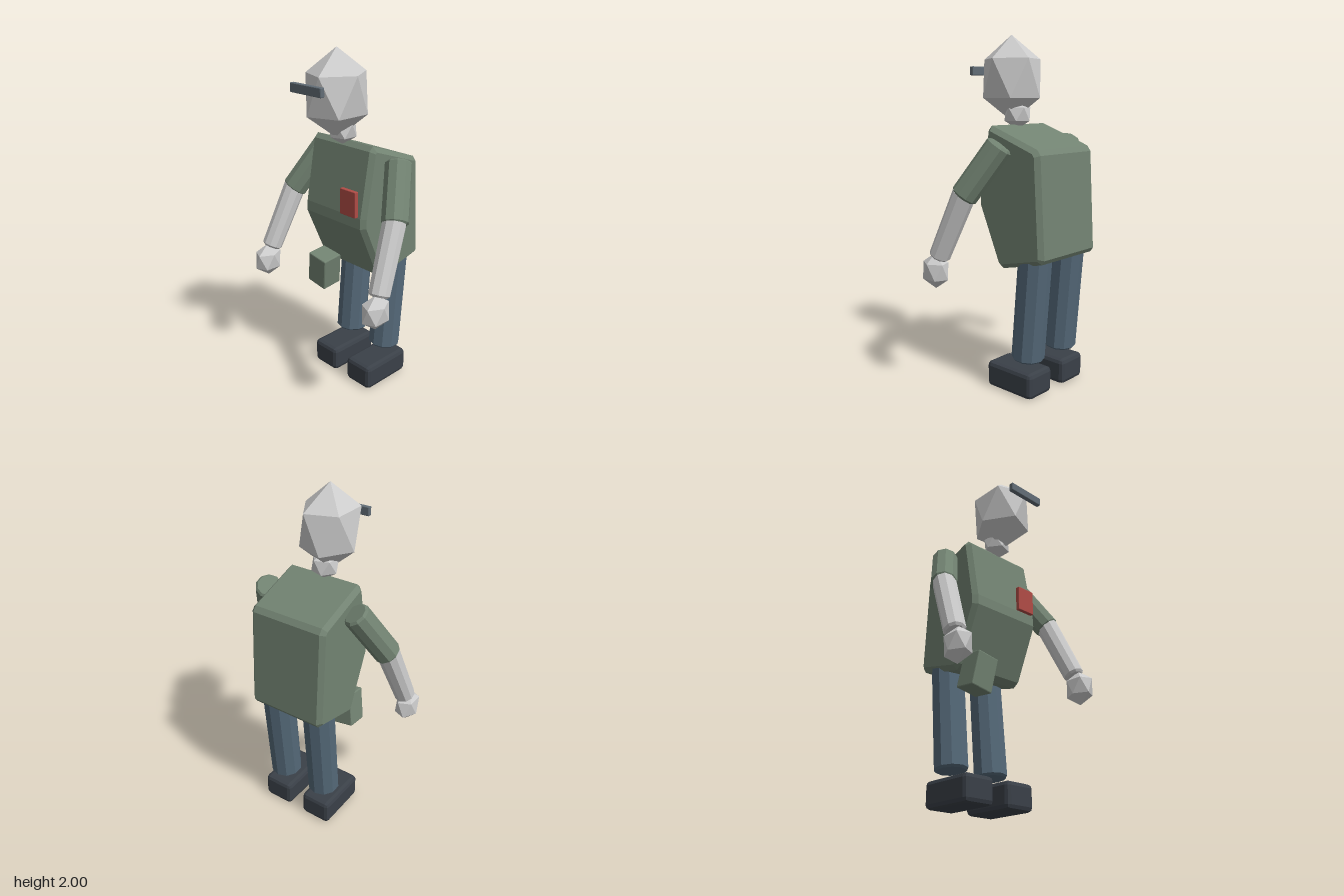
import * as THREE from 'three';
import { RoundedBoxGeometry } from 'three/addons/geometries/RoundedBoxGeometry.js';

const material = (color) => new THREE.MeshStandardMaterial({ color, flatShading: true });

export function createModel() {
  const model = new THREE.Group();
  model.name = 'figure';
  const skin = material(0xcccccc);
  const green = material(0x728372);
  const denim = material(0x546878);
  const dark = material(0x3a4048);
  const red = material(0xb04c46);
  const steel = material(0x626d76);

  const add = (name, geometry, mat, position = [0, 0, 0]) => {
    const mesh = new THREE.Mesh(geometry, mat);
    mesh.name = name;
    mesh.position.set(...position);
    model.add(mesh);
    return mesh;
  };

  // Box with chamfered edges
  const chamferBox = (w, h, d, c) => new RoundedBoxGeometry(w, h, d, 1, c);

  // Icosahedron standing on a vertex, scaled per axis
  const gem = (rx, ry, rz) => new THREE.IcosahedronGeometry(1, 0)
    .rotateX(-Math.atan((1 + Math.sqrt(5)) / 2))
    .rotateY(Math.PI / 2)
    .scale(rx, ry, rz);

  // Ten-sided limb with chamfered rims, running from a to b
  const limb = (name, a, b, ra, rb, mat) => {
    const start = new THREE.Vector3(...a);
    const dir = new THREE.Vector3(...b).sub(start);
    const len = dir.length(), c = 0.012;
    const profile = [[0, 0], [ra - c, 0], [ra, c], [rb, len - c], [rb - c, len], [0, len]]
      .map(([r, y]) => new THREE.Vector2(r, y));
    const mesh = add(name, new THREE.LatheGeometry(profile, 10), mat, a);
    mesh.quaternion.setFromUnitVectors(new THREE.Vector3(0, 1, 0), dir.normalize());
  };

  // Torso: side outline (z, y) extruded across the width
  const outline = [
    [0.045, 1.505], [0.07, 1.48], [0.135, 1.12], [0.138, 1.06], [0.0, 0.745], [-0.035, 0.72],
    [-0.315, 0.785], [-0.332, 0.81], [-0.302, 1.36], [-0.28, 1.39],
  ].map(([z, y]) => new THREE.Vector2(-z, y));
  const torso = new THREE.ExtrudeGeometry(new THREE.Shape(outline), {
    depth: 0.43, bevelEnabled: true, bevelThickness: 0.025, bevelSize: 0.025,
    bevelOffset: -0.025, bevelSegments: 1,
  });
  add('torso', torso.translate(0, 0, -0.215).rotateY(Math.PI / 2), green);

  // Head, neck and visor
  add('head', gem(0.174, 0.24, 0.2), skin, [0, 1.76, 0.098]);
  add('neck', gem(0.083, 0.084, 0.084), skin, [0, 1.562, 0.055]);
  add('visor', chamferBox(0.235, 0.05, 0.028, 0.004), steel, [0, 1.805, 0.304]);

  // Chest patch and hip pouch
  add('chestPatch', chamferBox(0.117, 0.147, 0.025, 0.003), red, [0.139, 1.198, 0.145]);
  const pouch = add('hipPouch', chamferBox(0.14, 0.2, 0.13, 0.006), green, [-0.155, 0.687, 0.066]);
  pouch.rotation.set(0.1, 0, -0.16);

  // Arms, legs and feet on both sides
  for (const [side, s] of [['left', 1], ['right', -1]]) {
    limb(side + 'Sleeve', [s * 0.41, 1.13, 0.075], [s * 0.285, 1.41, -0.083], 0.075, 0.075, green);
    limb(side + 'Forearm', [s * 0.452, 0.782, 0.232], [s * 0.403, 1.16, 0.065], 0.06, 0.066, skin);
    add(side + 'Hand', gem(0.071, 0.102, 0.094), skin, [s * 0.456, 0.702, 0.26]);
    limb(side + 'Leg', [s * 0.142, 0.2, -0.152], [s * 0.142, 0.86, -0.211], 0.094, 0.094, denim);
    add(side + 'Foot', chamferBox(0.192, 0.15, 0.333, 0.025), dark, [s * 0.142, 0.075, -0.085]);
  }
  return model;
}
